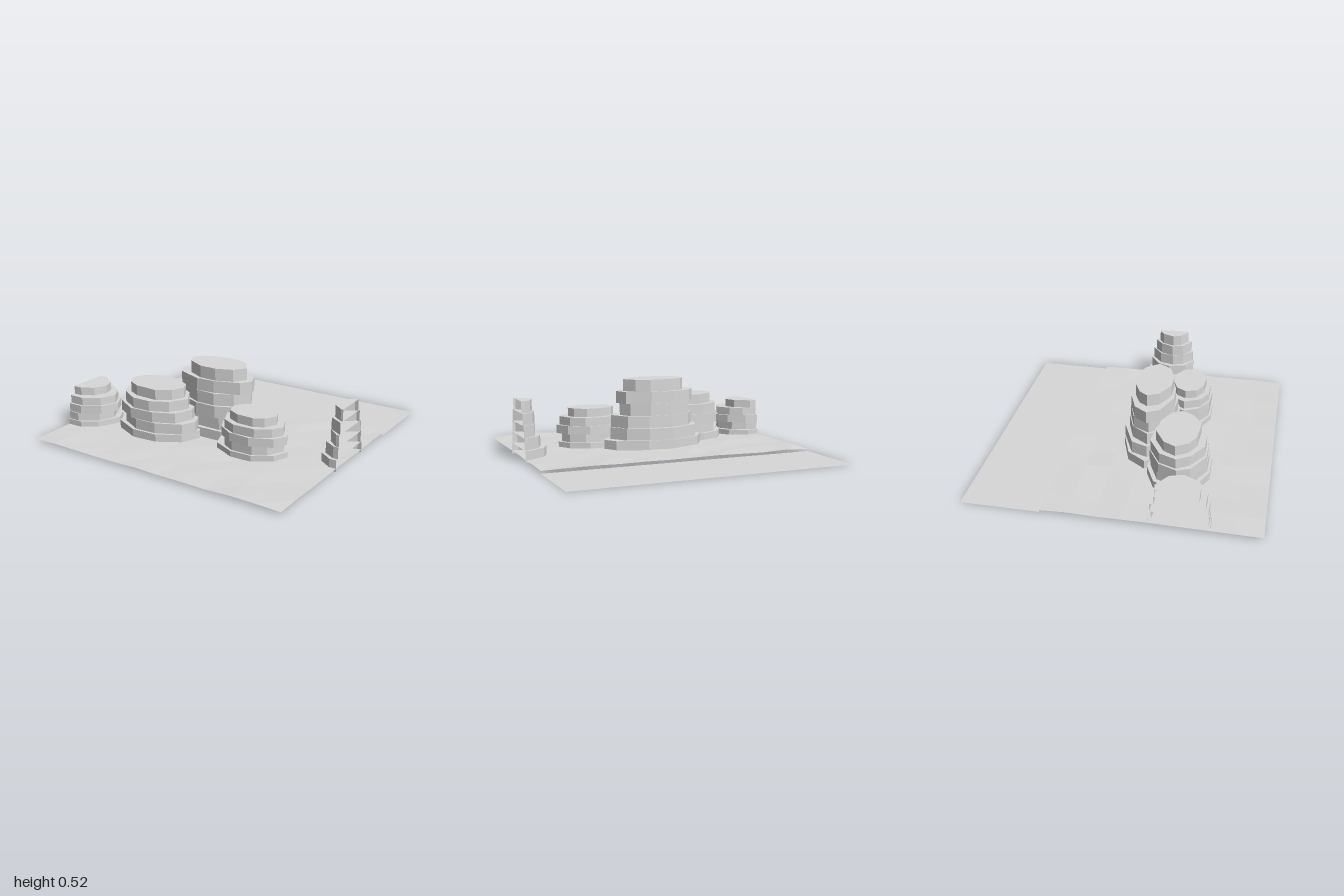
import * as THREE from 'three';

const stone = new THREE.MeshStandardMaterial({ color: 0xd8d8d8 });
stone.name = 'pale stone';
stone.flatShading = true;
stone.side = THREE.DoubleSide; // rocks are open where the terrain ends

// Each layer, bottom to top: [left, right, back, front] extents of its slab
const ROCKS = [
  { name: 'tallRock', height: 0.52, layers: [
    [-0.42, 0.37, -0.07, 0.32], [-0.37, 0.31, -0.06, 0.30], [-0.34, 0.30, -0.04, 0.30],
    [-0.32, 0.24, -0.03, 0.29], [-0.34, 0.26, -0.02, 0.28], [-0.26, 0.21, 0.0, 0.26]] },
  { name: 'broadRock', height: 0.37, layers: [
    [-0.70, -0.04, 0.16, 0.59], [-0.65, -0.05, 0.17, 0.57], [-0.68, -0.10, 0.17, 0.57],
    [-0.66, -0.13, 0.18, 0.55], [-0.62, -0.17, 0.22, 0.51]] },
  { name: 'smallRock', height: 0.305, layers: [
    [0.12, 0.65, 0.15, 0.51], [0.17, 0.62, 0.17, 0.50], [0.14, 0.655, 0.16, 0.50],
    [0.17, 0.63, 0.17, 0.49], [0.22, 0.57, 0.21, 0.45]] },
  { name: 'leftEdgeRock', height: 0.29, layers: [
    [-1.26, -0.71, 0.25, 0.66], [-1.23, -0.745, 0.28, 0.65], [-1.24, -0.71, 0.27, 0.65],
    [-1.22, -0.73, 0.29, 0.63], [-1.17, -0.81, 0.30, 0.59]] },
  { name: 'rightEdgeRock', height: 0.41, layers: [
    [0.80, 1.24, -0.08, 0.30], [0.845, 1.21, -0.06, 0.28], [0.875, 1.19, -0.05, 0.27],
    [0.88, 1.18, -0.03, 0.26], [0.895, 1.15, 0.0, 0.23]] },
];

// Small repeatable variation
function seeded(seed) {
  return () => (seed = (seed * 16807) % 2147483647) / 2147483647;
}

// Cut an outline [x, z] at the edges x = -1 and x = 1
function clipOutline(points) {
  for (const side of [-1, 1]) {
    const out = [];
    points.forEach((a, i) => {
      const b = points[(i + 1) % points.length];
      const da = 1 - side * a[0], db = 1 - side * b[0];
      if (da >= 0) out.push(a);
      if (da * db < 0) out.push([side, a[1] + (b[1] - a[1]) * da / (da - db)]);
    });
    points = out;
  }
  return points;
}

// Ten-sided slab outline with uneven corners filling the given extents
function slabOutline([x0, x1, z0, z1], random) {
  const points = [];
  const zReach = Math.sin(Math.PI * 0.4);
  for (let i = 0; i < 10; i++) {
    const end = i % 5 === 0;
    const a = (i / 10) * Math.PI * 2 + (random() - 0.5) * 0.2;
    const r = end ? 1 : 0.95 + random() * 0.07;
    points.push([
      (x0 + x1) / 2 + Math.cos(a) * r * (x1 - x0) / 2,
      (z0 + z1) / 2 + Math.sin(a) * r / zReach * (z1 - z0) / 2,
    ]);
  }
  return clipOutline(points);
}

// Slab with vertical walls and caps, left open where the terrain ends
function slabGeometry(outline, y0, y1, hasUnderside) {
  const pos = [];
  const n = outline.length;
  const at = (i, y) => [outline[i % n][0], y, outline[i % n][1]];
  for (let i = 0; i < n; i++) {
    const j = (i + 1) % n;
    const onCut = Math.abs(outline[i][0]) > 0.9999 && Math.abs(outline[j][0]) > 0.9999;
    if (!onCut) {
      pos.push(...at(i, y0), ...at(i, y1), ...at(j, y1));
      pos.push(...at(i, y0), ...at(j, y1), ...at(j, y0));
    }
    if (i > 0 && i < n - 1) {
      pos.push(...at(0, y1), ...at(j, y1), ...at(i, y1));
      if (hasUnderside) pos.push(...at(0, y0), ...at(i, y0), ...at(j, y0));
    }
  }
  const geometry = new THREE.BufferGeometry();
  geometry.setAttribute('position', new THREE.Float32BufferAttribute(pos, 3));
  geometry.computeVertexNormals();
  return geometry;
}

function createRock({ name, height, layers }, index) {
  const rock = new THREE.Group();
  rock.name = name;
  const random = seeded(101 + index * 37);
  const step = height / layers.length;
  layers.forEach((extents, i) => {
    const outline = slabOutline(extents, random);
    const slab = new THREE.Mesh(slabGeometry(outline, i * step, (i + 1) * step, i > 0), stone);
    slab.name = 'rockLayer' + (i + 1);
    rock.add(slab);
  });
  return rock;
}

// Flat sheet facing up between two z positions
function sheet(z0, z1, y, columns, rows) {
  const geometry = new THREE.PlaneGeometry(2, z1 - z0, columns, rows);
  geometry.rotateX(-Math.PI / 2);
  geometry.translate(0, y, (z0 + z1) / 2);
  return geometry;
}

export function createModel() {
  const model = new THREE.Group();
  model.name = 'rockyShore';

  // Gently uneven terrain
  const land = sheet(-0.46, 1, 0.019, 11, 8);
  const p = land.attributes.position;
  const random = seeded(4242);
  for (let i = 0; i < p.count; i++) p.setY(i, 0.015 + random() * 0.009);
  land.computeVertexNormals();
  const terrain = new THREE.Mesh(land, stone);
  terrain.name = 'terrain';

  // Lower flat strip behind the terrain
  const strip = new THREE.Mesh(sheet(-1, -0.46, 0, 1, 1), stone);
  strip.name = 'backStrip';

  model.add(terrain, strip, ...ROCKS.map(createRock));
  return model;
}
